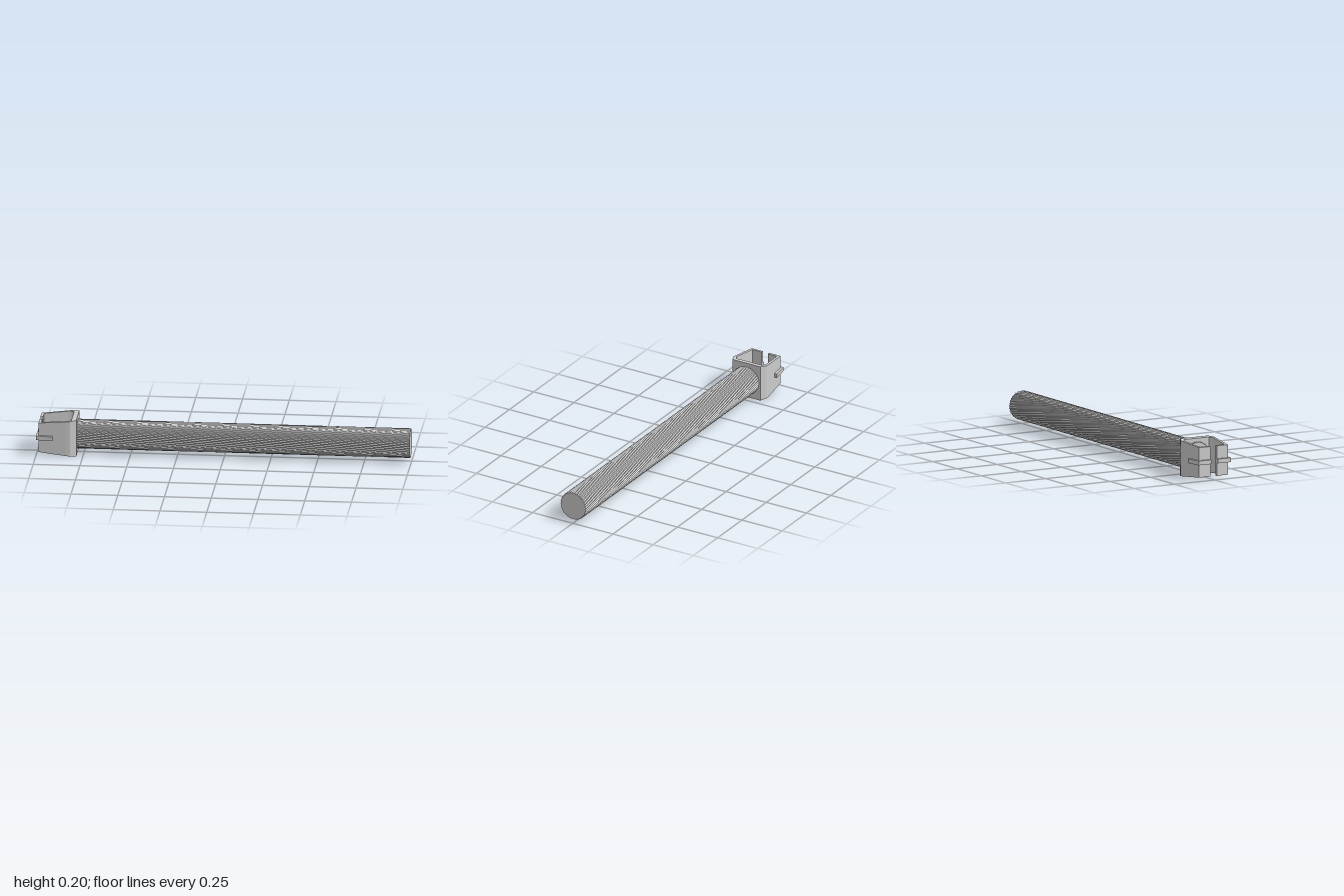
import * as THREE from 'three';

const CY = 0.103; // height of the rod's axis

// Extrudes a plan outline of [x, z] points upward, centred on the rod's axis.
function plan(points, height) {
  const shape = new THREE.Shape(points.map(([x, z]) => new THREE.Vector2(x, -z)));
  const geo = new THREE.ExtrudeGeometry(shape, { depth: height, bevelEnabled: false });
  geo.translate(0, 0, -height / 2);
  geo.rotateX(-Math.PI / 2);
  return geo;
}

// Fluted bar along x: alternate corners are sunk and each ring is turned a little.
function flutedRod(x0, x1, flutes, rOut, rIn, twist) {
  const geo = new THREE.CylinderGeometry(1, 1, x1 - x0, flutes * 2, 48);
  geo.rotateZ(-Math.PI / 2);
  geo.translate((x0 + x1) / 2, 0, 0);
  const p = geo.attributes.position;
  for (let i = 0; i < p.count; i++) {
    const x = p.getX(i), y = p.getY(i), z = p.getZ(i);
    const a = Math.atan2(y, z);
    const odd = Math.abs(Math.round(a / (Math.PI / flutes))) % 2;
    const r = Math.hypot(y, z) * (odd ? rIn : rOut);
    const t = a + twist * (x - x0);
    p.setXYZ(i, x, r * Math.sin(t), r * Math.cos(t));
  }
  geo.computeVertexNormals();
  return geo;
}

export function createModel() {
  const group = new THREE.Group();
  const material = new THREE.MeshStandardMaterial({ color: 0xcccccc, flatShading: true });
  const add = (name, geo) => {
    const mesh = new THREE.Mesh(geo, material);
    mesh.name = name;
    mesh.position.y = CY;
    group.add(mesh);
  };

  // long twisted rod, its end just showing inside the bracket
  add('rod', flutedRod(-0.82, 0.995, 36, 0.079, 0.0745, 2.1));

  // C-shaped bracket, open at the far end: outer wall, then inner wall
  const half = [
    [-0.785, 0.086], [-0.818, 0.104], [-0.84, 0.104], [-0.987, 0.09], [-0.987, 0.02],
    [-0.972, 0.02], [-0.972, 0.076], [-0.845, 0.089], [-0.828, 0.089], [-0.812, 0.078],
  ];
  const mirror = (pts) => pts.map(([x, z]) => [x, -z]);
  const bracket = plan([...half, ...mirror(half).reverse()], 0.2);
  // top and bottom edges close in toward the open end
  const p = bracket.attributes.position;
  for (let i = 0; i < p.count; i++) {
    const k = (-0.785 - p.getX(i)) / 0.202;
    p.setY(i, p.getY(i) * (1 - 0.19 * k));
  }
  bracket.computeVertexNormals();
  add('bracket', bracket);

  // narrow ribs wrapped round the two open corners
  const rib = [
    [-1, 0.02], [-1, 0.1], [-0.91, 0.113], [-0.91, 0.095], [-0.985, 0.088], [-0.985, 0.02],
  ];
  add('frontRib', plan(rib, 0.023));
  add('backRib', plan(mirror(rib), 0.023));

  return group;
}
